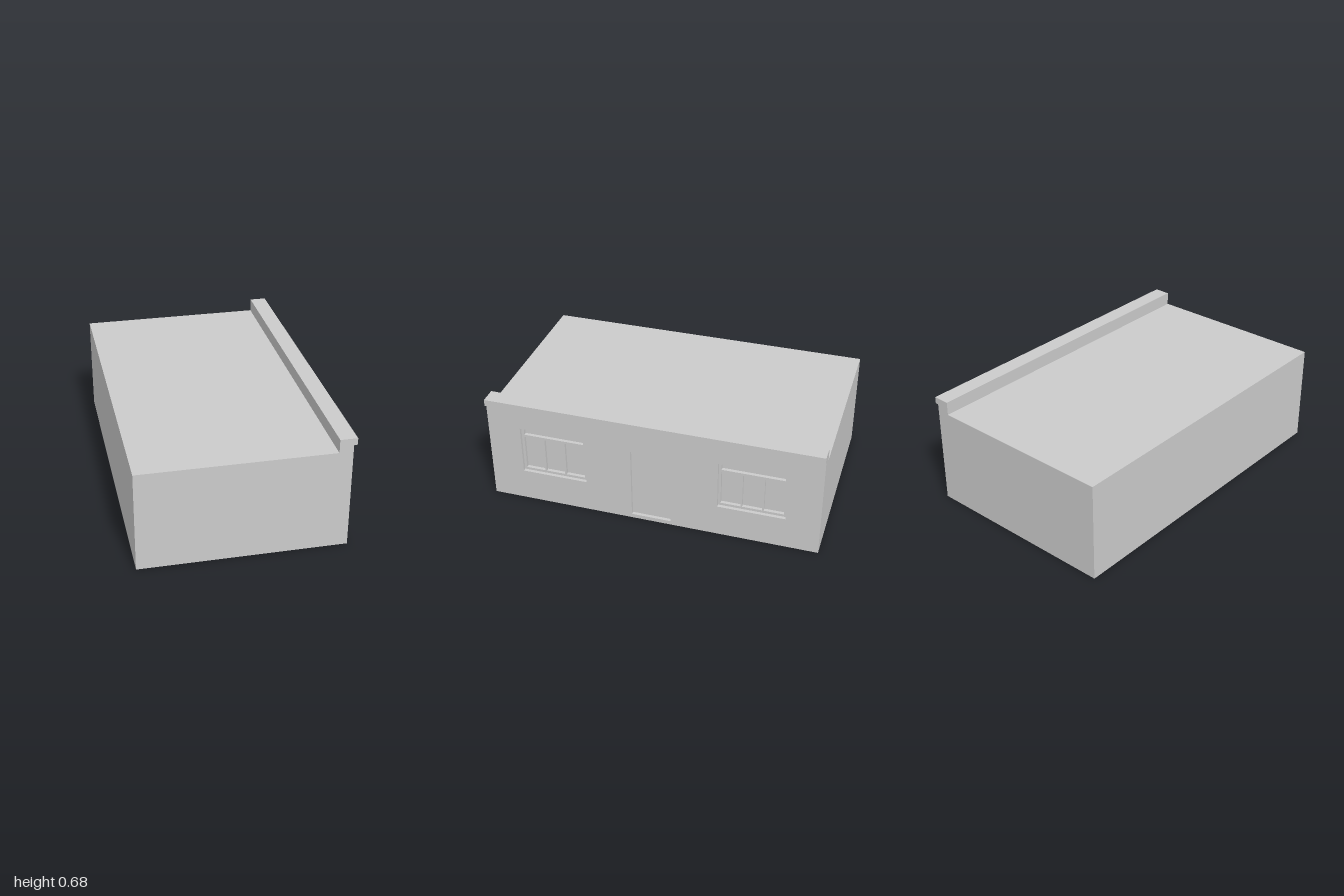
import * as THREE from 'three';

const material = new THREE.MeshStandardMaterial({ color: 0xcccccc, flatShading: true });
const LENGTH = 2, INNER = 0.55, FACE = 0.59, RECESS = 0.02;

// Corner points of a rectangle from its centre line, half width and heights
function rect(centre, half, y0, y1) {
  return [[centre - half, y0], [centre + half, y0], [centre + half, y1], [centre - half, y1]]
    .map(([x, y]) => new THREE.Vector2(x, y));
}

// Plate facing +x with rectangular holes, its back at x = INNER
function plate(name, outline, holes, depth) {
  const shape = new THREE.Shape(outline);
  holes.forEach((h) => shape.holes.push(new THREE.Path(h)));
  const geometry = new THREE.ExtrudeGeometry(shape, { depth, bevelEnabled: false });
  geometry.rotateY(Math.PI / 2).translate(INNER, 0, 0);
  const mesh = new THREE.Mesh(geometry, material);
  mesh.name = name;
  return mesh;
}

export function createModel() {
  const building = new THREE.Group();
  building.name = 'building';

  // Main block with flat roof and the rear part of the parapet
  const profile = [[-0.61, 0], [INNER, 0], [INNER, 0.64], [0.51, 0.64], [0.51, 0.6], [-0.61, 0.6]];
  const block = new THREE.ExtrudeGeometry(
    new THREE.Shape(profile.map(([x, y]) => new THREE.Vector2(x, y))),
    { depth: LENGTH, bevelEnabled: false });
  block.translate(0, 0, -LENGTH / 2);
  const body = new THREE.Mesh(block, material);
  body.name = 'mainBlock';
  building.add(body);

  // Facade wall with openings
  const doorway = () => rect(0, 0.12, 0.025, 0.48);
  const opening = (u) => rect(u, 0.2, 0.2, 0.505);
  building.add(plate('facade', rect(0, LENGTH / 2, 0, 0.64),
    [opening(-0.6), doorway(), opening(0.6)], FACE - INNER));

  // Overhanging parapet cap
  const cap = new THREE.Mesh(new THREE.BoxGeometry(0.1, 0.04, LENGTH), material);
  cap.name = 'parapetCap';
  cap.position.set(0.56, 0.66, 0);
  building.add(cap);

  // Recessed door
  building.add(plate('door', doorway(), [], RECESS));

  // Window frames: a top light over three panes
  for (const u of [-0.6, 0.6]) {
    const panes = [-1, 0, 1].map((i) => rect(u + i * 0.127, 0.0585, 0.216, 0.437));
    panes.push(rect(u, 0.184, 0.452, 0.49));
    building.add(plate(u < 0 ? 'frontWindowFrame' : 'rearWindowFrame', opening(u), panes, RECESS));
  }

  return building;
}
